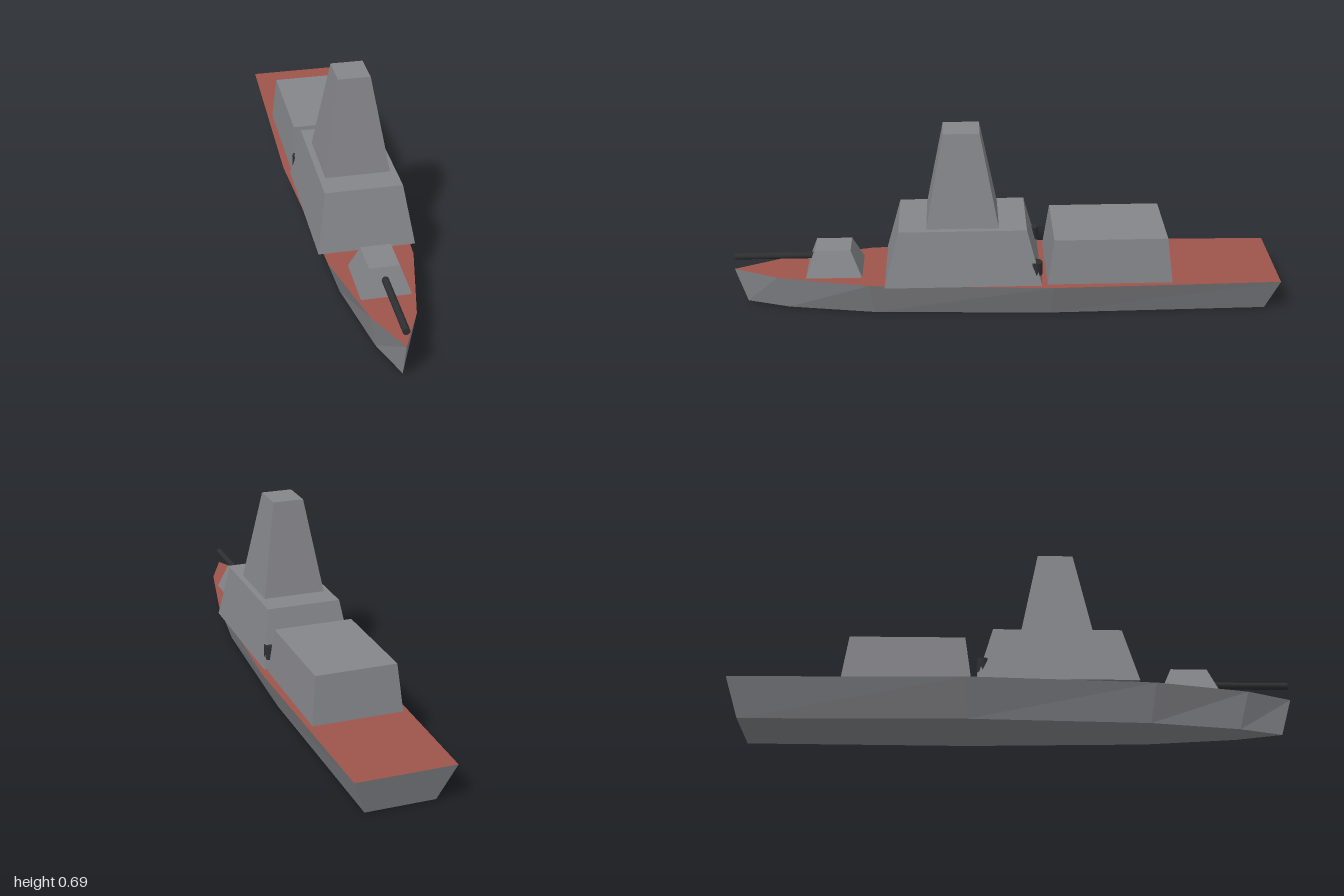
import * as THREE from 'three';

const paint = (name, color) => {
  const m = new THREE.MeshStandardMaterial({ color });
  m.name = name;
  return m;
};

// Box with a narrower top: each end is [halfWidth, zBack, zFront]
function taperedBlock(y0, y1, bottom, top) {
  const g = new THREE.BoxGeometry(2, 1, 1).toNonIndexed();
  const p = g.attributes.position;
  for (let i = 0; i < p.count; i++) {
    const up = p.getY(i) > 0;
    const [hw, zb, zf] = up ? top : bottom;
    p.setXYZ(i, Math.sign(p.getX(i)) * hw, up ? y1 : y0, p.getZ(i) > 0 ? zf : zb);
  }
  g.computeVertexNormals();
  return g;
}

// Flat-shaded surface from a list of triangles
function faceted(triangles) {
  const g = new THREE.BufferGeometry();
  g.setAttribute('position', new THREE.Float32BufferAttribute(triangles.flat(2), 3));
  g.computeVertexNormals();
  return g;
}

export function createModel() {
  const grey = paint('ship grey', 0x85868a);
  const red = paint('deck red', 0x9e544c);
  const dark = paint('gun metal', 0x2e2f32);

  const model = new THREE.Group();
  model.name = 'warship';
  const add = (name, geometry, material, x = 0, y = 0, z = 0) => {
    const mesh = new THREE.Mesh(geometry, material);
    mesh.name = name;
    mesh.position.set(x, y, z);
    model.add(mesh);
    return mesh;
  };

  // Hull outline: half width and z, from stern to bow, closed around the left side
  const deckY = 0.135;
  const half = [[0.175, -1], [0.19, -0.17], [0.15, 0.5], [0.075, 0.835], [0, 1]];
  const outline = [...half.map(([x, z]) => [-x, z]), ...half.slice(0, -1).reverse()];
  const upper = outline.map(([x, z]) => [x, deckY, z]);
  const lower = outline.map(([x, z]) => [x * 0.7, 0, z * 0.96]);

  const hull = [];
  const deck = [];
  const n = outline.length;
  for (let i = 0; i < n; i++) {
    const j = (i + 1) % n;
    hull.push([lower[i], lower[j], upper[j]], [lower[i], upper[j], upper[i]]);
    if (i > 0 && j > 0) {
      deck.push([upper[0], upper[i], upper[j]]);
      hull.push([lower[0], lower[j], lower[i]]);
    }
  }
  add('hull', faceted(hull), grey);
  add('deck', faceted(deck), red);

  // Superstructure
  add('bridge', taperedBlock(deckY, 0.343, [0.171, -0.13, 0.44], [0.137, -0.075, 0.385]), grey);
  add('tower', taperedBlock(0.343, 0.686, [0.115, 0.025, 0.285], [0.057, 0.09, 0.22]), grey);
  add('hangar', taperedBlock(deckY, 0.305, [0.163, -0.605, -0.15], [0.146, -0.583, -0.173]), grey);

  // Bow gun
  add('turret', taperedBlock(deckY, 0.23, [0.086, 0.525, 0.73], [0.052, 0.565, 0.695]), grey);
  const barrel = new THREE.CylinderGeometry(0.0125, 0.0125, 0.31, 12);
  add('gunBarrel', barrel.rotateX(Math.PI / 2), dark, 0, 0.188, 0.838);

  // Small mounts at the rear corners of the bridge
  for (const side of [-1, 1]) {
    add('sideMount', new THREE.CylinderGeometry(0.022, 0.022, 0.05, 8), dark, side * 0.143, 0.195, -0.11);
    add('sideMountPost', new THREE.CylinderGeometry(0.012, 0.012, 0.036, 8), grey, side * 0.143, 0.153, -0.118);
  }
  return model;
}
